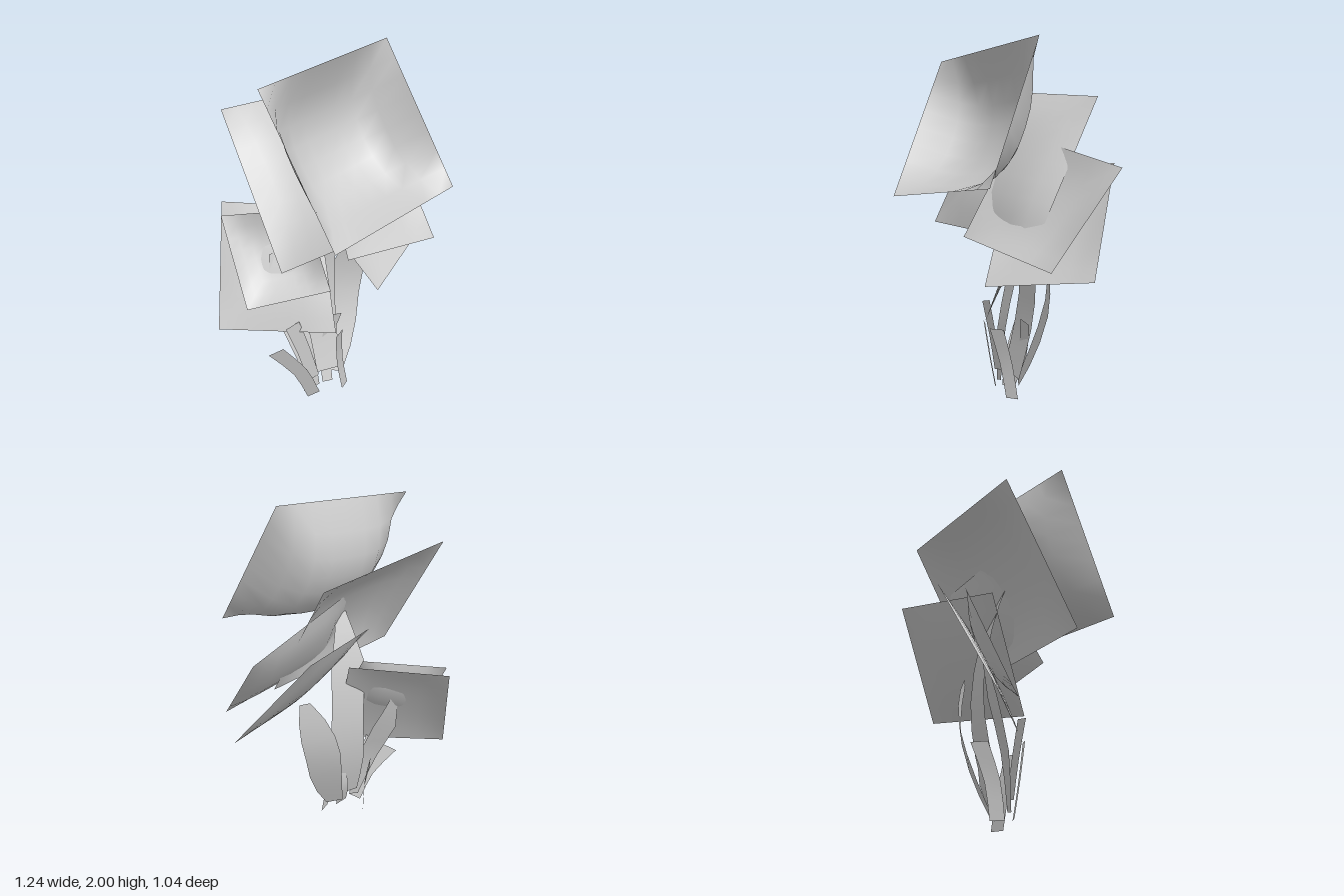
import * as THREE from 'three';

const V = (p) => new THREE.Vector3(...p);

// Builds a smooth two-sided sheet from a rule mapping (u, v) in 0..1 to a point
function sheet(name, nu, nv, rule) {
  const geo = new THREE.PlaneGeometry(1, 1, nu, nv);
  const pos = geo.attributes.position;
  for (let i = 0; i < pos.count; i++) {
    const p = rule(pos.getX(i) + 0.5, pos.getY(i) + 0.5);
    pos.setXYZ(i, p.x, p.y, p.z);
  }
  geo.computeVertexNormals();
  const mesh = new THREE.Mesh(geo, new THREE.MeshStandardMaterial({ color: 0xcccccc, side: THREE.DoubleSide }));
  mesh.name = name;
  return mesh;
}

// Four-cornered petal whose interior bulges along its normal, edges kept straight
function petal(name, bl, br, tr, tl, bulge) {
  const [a, b, c, d] = [bl, br, tr, tl].map(V);
  const normal = b.clone().sub(a).cross(d.clone().sub(a)).normalize();
  const swell = (t, power) => 1 - Math.abs(2 * t - 1) ** power;
  return sheet(name, 8, 8, (u, v) =>
    a.clone().lerp(b, u).lerp(d.clone().lerp(c, u), v)
      .addScaledVector(normal, bulge * swell(u, 3.5) * swell(v, 2.5)));
}

// Narrow strip following a curve, with a width vector and a width profile
function blade(name, points, across, widths, segments) {
  const curve = new THREE.CatmullRomCurve3(points.map(V));
  const side = V(across).normalize();
  return sheet(name, 2, segments, (u, v) => {
    const f = v * (widths.length - 1);
    const i = Math.min(Math.floor(f), widths.length - 2);
    const w = THREE.MathUtils.lerp(widths[i], widths[i + 1], f - i);
    return curve.getPoint(v).addScaledVector(side, (u - 0.5) * w);
  });
}

export function createModel() {
  const model = new THREE.Group();
  model.name = 'flowerCluster';

  // Flower heads: bottom-left, bottom-right, top-right, top-left, bulge
  const petals = [
    ['topFlower', [-0.52, 1.14, 0.515], [0.35, 1.26, 0.52], [0.25, 2, 0.12], [-0.62, 1.88, 0.11], -0.265],
    ['rearFlower', [-0.58, 0.96, 0.2], [0.275, 0.94, 0.16], [0.275, 1.69, -0.275], [-0.575, 1.71, -0.23], 0.085],
    ['sideFlower', [-0.19, 0.93, 0.28], [0.52, 0.84, 0.275], [0.6, 1.34, -0.13], [-0.11, 1.49, -0.03], -0.05],
    ['lowerFlower', [0.02, 0.69, 0.3], [0.615, 0.78, 0.07], [0.38, 1.34, -0.3], [-0.21, 1.25, -0.07], -0.03],
    ['smallFlower', [-0.51, 0.59, -0.17], [-0.17, 0.69, 0.13], [-0.13, 1.09, -0.11], [-0.47, 1.06, -0.415], -0.07],
    ['backFlower', [-0.61, 0.46, -0.3], [-0.16, 0.44, 0.16], [-0.04, 1.08, -0.1], [-0.38, 1.09, -0.52], 0.02],
  ];
  for (const p of petals) model.add(petal(...p));

  // Tall stems
  model.add(blade('leftStem',
    [[-0.2, 0.06, 0.03], [-0.25, 0.35, -0.03], [-0.29, 0.6, -0.13], [-0.3, 0.85, -0.2]],
    [1, 0.25, 0.3], [0.06, 0.13, 0.15, 0.03], 6));
  model.add(blade('middleStem',
    [[-0.1, 0.12, 0.02], [-0.08, 0.4, -0.05], [-0.06, 0.7, -0.07], [-0.09, 1.05, -0.03], [-0.125, 1.38, 0.085]],
    [1, -0.05, 0.25], [0.2, 0.21, 0.2, 0.2, 0.03], 8));
  model.add(blade('rightStem',
    [[-0.04, 0.09, 0.02], [0.05, 0.3, -0.02], [0.11, 0.53, -0.06], [0.15, 0.72, -0.04], [0.18, 0.88, 0.01]],
    [0.8, -0.2, 0.6], [0.1, 0.18, 0.2, 0.19, 0.06], 6));

  // Short ground leaves, root to tip
  const leaves = [
    ['leftLeaf', [[-0.22, 0.02, 0.04], [-0.3, 0.19, 0.02], [-0.425, 0.345, -0.04]], [0.55, 0.4, 0.55]],
    ['frontLeaf', [[-0.015, 0.01, 0.085], [-0.06, 0.2, 0.09], [-0.1, 0.4, 0.125]], [1, 0.05, -0.4]],
    ['backLeaf', [[-0.21, 0.005, -0.05], [-0.2, 0.2, -0.07], [-0.18, 0.4, -0.135]], [0.6, 0, -0.6]],
    ['innerLeaf', [[-0.1, 0.05, 0.03], [-0.06, 0.24, -0.03], [-0.005, 0.44, 0.0]], [0.95, -0.2, 0.1]],
    ['sideLeaf', [[-0.21, 0.12, 0.03], [-0.27, 0.31, 0.02], [-0.345, 0.5, 0.01]], [0.95, 0.25, 0.15]],
  ];
  for (const [name, points, across] of leaves)
    model.add(blade(name, points, across, [0.075, 0.08, 0.09], 4));

  return model;
}
